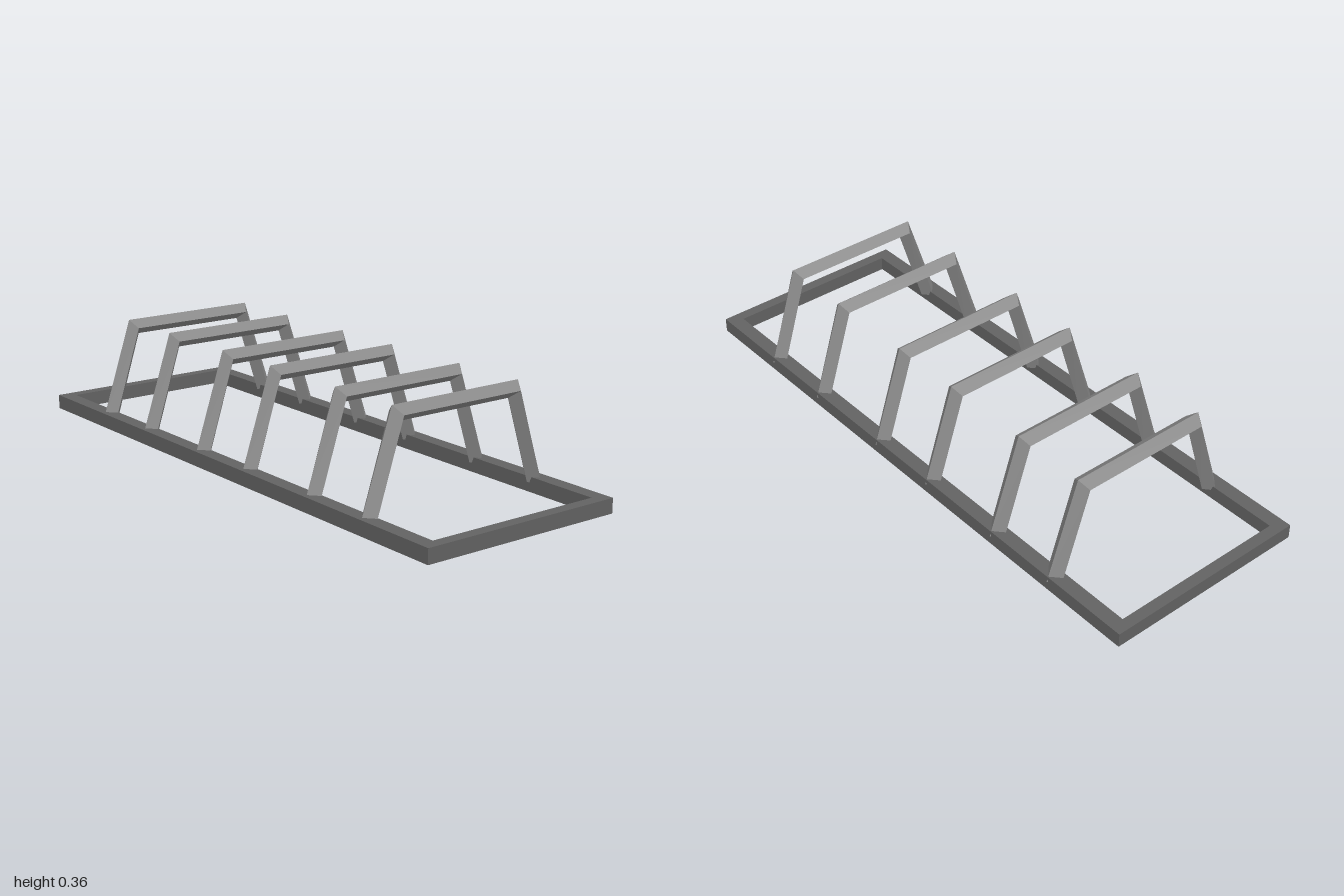
import * as THREE from 'three';

const BASE_HEIGHT = 0.048;

// Rectangle path used for the outline and opening of the base
function rectangle(target, x0, x1, z) {
  target.moveTo(x0, -z);
  target.lineTo(x1, -z);
  target.lineTo(x1, z);
  target.lineTo(x0, z);
  target.closePath();
  return target;
}

function baseGeometry() {
  const shape = rectangle(new THREE.Shape(), -0.355, 0.352, 1);
  shape.holes.push(rectangle(new THREE.Path(), -0.306, 0.303, 0.962));
  const geometry = new THREE.ExtrudeGeometry(shape, { depth: BASE_HEIGHT, bevelEnabled: false });
  return geometry.rotateX(-Math.PI / 2);
}

// Mitred hoop with a diamond section, running from left foot to right foot
function hoopGeometry() {
  const halfDepth = 0.033;
  const outer = [[-0.346, 0.03], [-0.237, 0.358], [0.246, 0.358], [0.355, 0.03]];
  const middle = [[-0.316, 0.03], [-0.219, 0.332], [0.228, 0.332], [0.325, 0.03]];
  const inner = [[-0.288, 0.03], [-0.2, 0.307], [0.209, 0.307], [0.298, 0.03]];
  const rings = outer.map((o, i) => [
    [...o, 0],
    [...middle[i], halfDepth],
    [...inner[i], 0],
    [...middle[i], -halfDepth],
  ]);

  const positions = [];
  const quad = (a, b, c, d) => positions.push(...a, ...b, ...c, ...a, ...c, ...d);
  for (let i = 0; i < 3; i++) {
    for (let k = 0; k < 4; k++) {
      const n = (k + 1) % 4;
      quad(rings[i][k], rings[i][n], rings[i + 1][n], rings[i + 1][k]);
    }
  }
  // Foot caps
  quad(...[...rings[0]].reverse());
  quad(...rings[3]);

  const geometry = new THREE.BufferGeometry();
  geometry.setAttribute('position', new THREE.Float32BufferAttribute(positions, 3));
  geometry.computeVertexNormals();
  return geometry;
}

export function createModel() {
  const model = new THREE.Group();
  model.name = 'hoopRack';

  const darkGrey = new THREE.MeshStandardMaterial({ color: 0x626262 });
  darkGrey.name = 'darkGrey';
  const midGrey = new THREE.MeshStandardMaterial({ color: 0x888888 });
  midGrey.name = 'midGrey';

  const base = new THREE.Mesh(baseGeometry(), darkGrey);
  base.name = 'baseFrame';
  model.add(base);

  // Three pairs of hoops from front to back
  const hoop = hoopGeometry();
  [0.702, 0.446, 0.124, -0.132, -0.443, -0.699].forEach((z, i) => {
    const mesh = new THREE.Mesh(hoop, midGrey);
    mesh.name = `hoop${i + 1}`;
    mesh.position.z = z;
    model.add(mesh);
  });

  return model;
}
